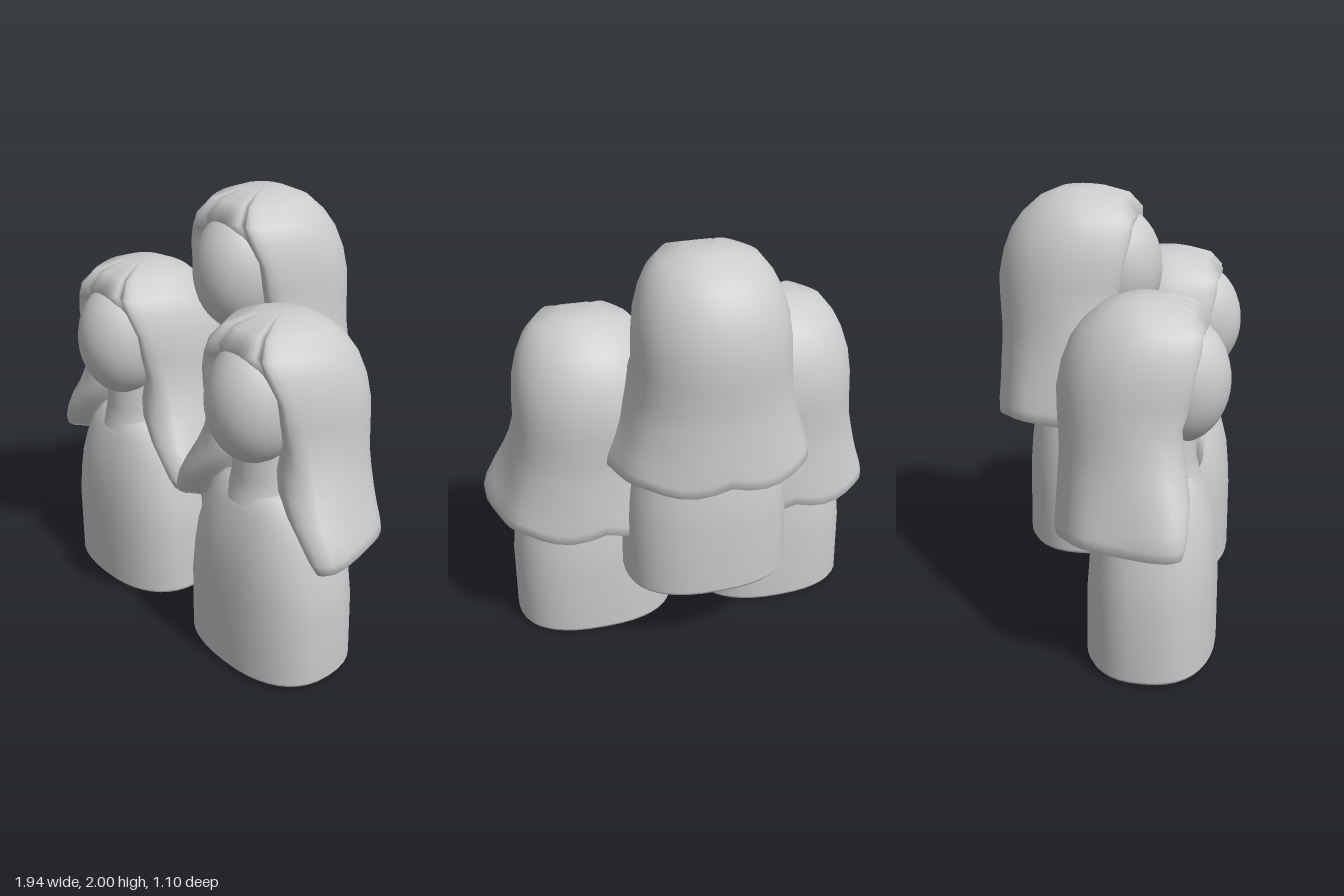
import * as THREE from 'three';

const material = new THREE.MeshStandardMaterial({ color: 0xcccccc });

// Skins a stack of closed rings (ordered top to bottom, clockwise from above)
function loft(rings) {
  const n = rings[0].length;
  const index = [];
  for (let j = 0; j < rings.length - 1; j++) {
    for (let i = 0; i < n; i++) {
      const k = (i + 1) % n;
      const a = j * n + i, b = j * n + k, c = a + n, d = b + n;
      index.push(a, b, c, b, d, c);
    }
  }
  const geometry = new THREE.BufferGeometry().setFromPoints(rings.flat());
  geometry.setIndex(index);
  geometry.computeVertexNormals();
  return geometry;
}

// Rounded, slightly boxy gown section
function gownRing([y, w, zBack, zFront]) {
  const ring = [];
  const power = 2 / 2.4;
  const soft = (v) => Math.sign(v) * Math.abs(v) ** power;
  for (let i = 0; i < 40; i++) {
    const t = (i / 40) * Math.PI * 2;
    const z = (zBack + zFront) / 2 - soft(Math.cos(t)) * (zFront - zBack) / 2;
    ring.push(new THREE.Vector3(w * soft(Math.sin(t)), y, z));
  }
  return ring;
}

// Hair section: round at the back, hollowed at the front between two locks
function hairRing([y, wMid, wFront, xIn, zBack, zFront, zHollow]) {
  const d = zFront - zBack;
  const side = [
    [0.5 * wMid, zBack + 0.06 * d],
    [0.86 * wMid, zBack + 0.24 * d],
    [wMid, zBack + 0.52 * d],
    [wFront, zBack + 0.9 * d],
    [(xIn + wFront) / 2, zFront],
    [xIn, zFront - 0.04 * d],
    [xIn * 0.75, (zFront + zHollow) / 2],
  ];
  const outline = [[0, zBack], ...side, [0, zHollow], ...side.map(([x, z]) => [-x, z]).reverse()];
  const points = outline.map(([x, z]) => new THREE.Vector3(x, y, z));
  const ring = new THREE.CatmullRomCurve3(points, true, 'centripetal').getPoints(48).slice(0, 48);
  // the hem dips at the back corners
  if (y < 0.8) {
    for (const p of ring) {
      if (p.z < 0.1) p.y -= 0.035 * Math.sin(Math.min(1, Math.abs(p.x) / 0.36) * Math.PI);
    }
  }
  return ring;
}

function createFigure() {
  const figure = new THREE.Group();
  const add = (name, geometry) => {
    const mesh = new THREE.Mesh(geometry, material);
    mesh.name = name;
    figure.add(mesh);
    return mesh;
  };

  // y, half width, back z, front z
  add('gown', loft([
    [0.89, 0, 0.24, 0.24],
    [0.885, 0.15, 0.12, 0.37],
    [0.86, 0.225, 0.07, 0.41],
    [0.79, 0.295, 0.02, 0.445],
    [0.7, 0.33, -0.01, 0.475],
    [0.6, 0.355, -0.03, 0.5],
    [0.48, 0.378, -0.045, 0.512],
    [0.35, 0.392, -0.055, 0.52],
    [0.03, 0.395, -0.06, 0.522],
    [0.012, 0.385, -0.05, 0.512],
    [0.004, 0.35, -0.02, 0.48],
    [0, 0, 0.23, 0.23],
  ].map(gownRing)));

  // neck and collar
  const neckProfile = [[0.18, 0.82], [0.165, 0.87], [0.152, 0.93], [0.148, 1.08]]
    .map(([r, y]) => new THREE.Vector2(r, y));
  add('neck', new THREE.LatheGeometry(neckProfile, 28)).position.z = 0.26;

  const head = add('head', new THREE.SphereGeometry(1, 28, 20));
  head.scale.set(0.212, 0.28, 0.225);
  head.position.set(0, 1.275, 0.325);

  // y, half width mid, half width front, inner lock edge, back z, front z, hollow z
  add('hair', loft([
    [1.632, 0, 0, 0, 0.17, 0.17, 0.17],
    [1.628, 0.11, 0.08, 0.05, 0.09, 0.28, 0.28],
    [1.59, 0.22, 0.16, 0.09, 0.0, 0.385, 0.385],
    [1.52, 0.278, 0.21, 0.12, -0.08, 0.44, 0.45],
    [1.45, 0.312, 0.25, 0.15, -0.13, 0.435, 0.4],
    [1.36, 0.338, 0.285, 0.2, -0.165, 0.415, 0.32],
    [1.25, 0.35, 0.3, 0.2, -0.188, 0.4, 0.28],
    [1.14, 0.352, 0.31, 0.19, -0.186, 0.37, 0.25],
    [1.02, 0.365, 0.35, 0.165, -0.18, 0.38, 0.22],
    [0.94, 0.385, 0.385, 0.19, -0.182, 0.395, 0.2],
    [0.85, 0.41, 0.435, 0.27, -0.188, 0.415, 0.2],
    [0.77, 0.435, 0.48, 0.34, -0.195, 0.415, 0.2],
    [0.71, 0.455, 0.5, 0.385, -0.2, 0.41, 0.2],
    [0.665, 0.46, 0.498, 0.42, -0.2, 0.395, 0.2],
    [0.655, 0.44, 0.475, 0.41, -0.175, 0.38, 0.2],
    [0.7, 0.3, 0.28, 0.22, 0.02, 0.3, 0.2],
    [0.7, 0, 0, 0, 0.15, 0.15, 0.15],
  ].map(hairRing)));

  return figure;
}

export function createModel() {
  const model = new THREE.Group();
  model.name = 'figureTrio';
  const places = [
    ['rightFigure', -0.47, 0, 0],
    ['leftFigure', 0.466, 0, 0],
    ['backFigure', -0.025, 0.368, -0.345],
  ];
  for (const [name, x, y, z] of places) {
    const figure = createFigure();
    figure.name = name;
    figure.position.set(x, y, z);
    model.add(figure);
  }
  return model;
}
